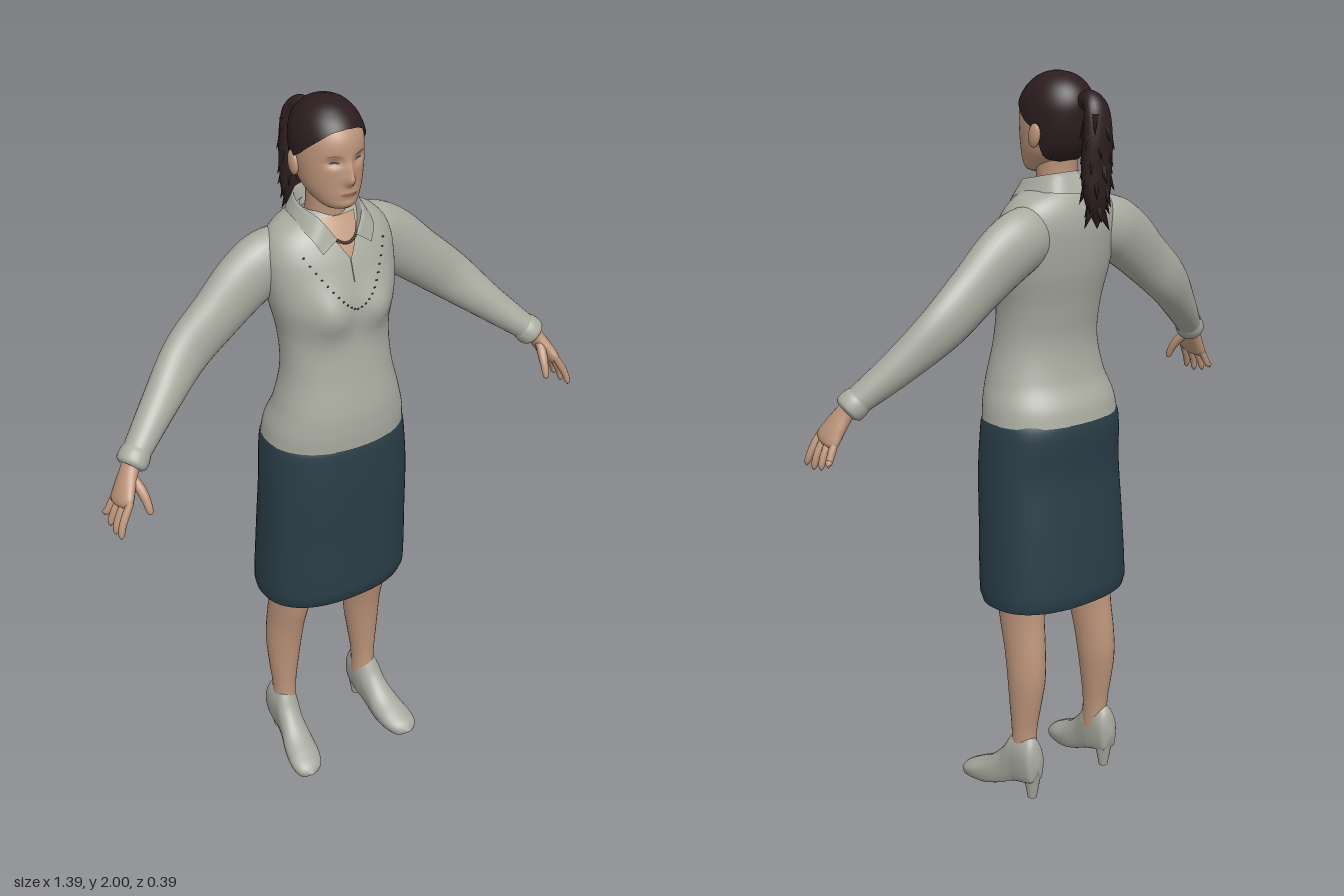
import * as THREE from 'three';
import { mergeVertices } from 'three/addons/utils/BufferGeometryUtils.js';

const V = (x, y, z) => new THREE.Vector3(x, y, z);
const mat = (name, color, side = THREE.FrontSide) => {
  const m = new THREE.MeshStandardMaterial({ color, side });
  m.name = name;
  return m;
};

// Smooth surface from a function of u (around / rightwards) and v (upwards), both 0..1
function grid(fn, nu, nv) {
  const pos = [], idx = [];
  for (let j = 0; j <= nv; j++) for (let i = 0; i <= nu; i++) pos.push(...fn(i / nu, j / nv).toArray());
  for (let j = 0; j < nv; j++) for (let i = 0; i < nu; i++) {
    const a = j * (nu + 1) + i, b = a + 1, c = a + nu + 1, d = c + 1;
    idx.push(a, b, d, a, d, c);
  }
  let g = new THREE.BufferGeometry();
  g.setAttribute('position', new THREE.Float32BufferAttribute(pos, 3));
  g.setIndex(idx);
  g = mergeVertices(g, 1e-5);
  g.computeVertexNormals();
  return g;
}

// Hermite interpolation of rows keyed by their first column
function at(rows, y) {
  let i = 0;
  while (i < rows.length - 2 && y > rows[i + 1][0]) i++;
  const h = rows[i + 1][0] - rows[i][0], t = (y - rows[i][0]) / h;
  const slope = (k, c) => {
    const p = rows[Math.max(k - 1, 0)], q = rows[Math.min(k + 1, rows.length - 1)];
    return (q[c] - p[c]) / (q[0] - p[0]);
  };
  return rows[i].map((p, c) => {
    const q = rows[i + 1][c], t2 = t * t, t3 = t2 * t;
    return (2 * t3 - 3 * t2 + 1) * p + (t3 - 2 * t2 + t) * h * slope(i, c)
      + (3 * t2 - 2 * t3) * q + (t3 - t2) * h * slope(i + 1, c);
  });
}

// Body surface: rows are [y, half width, front z, back z, centre x]; angle 0 is the front
const body = (rows, power = 2, grow = 0) => (y, a) => {
  const [, rx, zf, zb, cx = 0] = at(rows, y), e = 2 / power;
  const s = Math.sin(a), c = Math.cos(a);
  return V(cx + (Math.max(rx, 0) + grow) * Math.sign(s) * Math.abs(s) ** e, y,
    (zf + zb) / 2 + (Math.max(zf - zb, 0) / 2 + grow) * Math.sign(c) * Math.abs(c) ** e);
};
const wrap = (fn, y0, y1, nu, nv) => grid((u, v) => fn(y0 + (y1 - y0) * v, u * Math.PI * 2), nu, nv);

// Limb along a path: rows are [x, y, z, radius along ref, other radius]
function limb(rows, ref, nu = 20, nv = 28) {
  const keyed = rows.map((r, i) => [i, ...r]), n = rows.length - 1;
  const centre = t => V(...at(keyed, t).slice(1, 4));
  return grid((u, v) => {
    const t = v * n, r = at(keyed, t);
    const T = centre(Math.min(t + 0.02, n)).sub(centre(Math.max(t - 0.02, 0))).normalize();
    const n1 = ref.clone().addScaledVector(T, -T.dot(ref)).normalize(), n2 = T.clone().cross(n1);
    const a = u * Math.PI * 2;
    return centre(t).addScaledVector(n1, Math.cos(a) * Math.max(r[4], 0)).addScaledVector(n2, Math.sin(a) * Math.max(r[5], 0));
  }, nu, nv);
}

export function createModel() {
  const model = new THREE.Group();
  model.name = 'woman';
  const sweater = mat('sweaterGrey', 0xa9aba0, THREE.DoubleSide), skirtBlue = mat('skirtBlue', 0x2a3e48, THREE.DoubleSide);
  const skin = mat('skin', 0xbd957b), hairBrown = mat('hairBrown', 0x2c1d1f, THREE.DoubleSide);
  const shoeGrey = mat('shoeGrey', 0xa6a79d), lipRose = mat('lipRose', 0x9c6b5b);
  const dark = mat('darkDetail', 0x46433e), bronze = mat('necklaceBronze', 0x5c4a34);

  const add = (name, geo, material) => {
    const m = new THREE.Mesh(geo, material);
    m.name = name;
    model.add(m);
  };
  const pair = (name, geo, material) => {
    add('left' + name, geo, material);
    const g = geo.clone().scale(-1, 1, 1), ix = g.index;
    for (let i = 0; i < ix.count; i += 3) {
      const b = ix.getX(i + 1);
      ix.setX(i + 1, ix.getX(i + 2));
      ix.setX(i + 2, b);
    }
    add('right' + name, g, material);
  };
  const bump = (d, w) => Math.exp(-(d * d) / (w * w));

  // Skirt, open at the hem
  const skirt = [[0.58, 0.215, 0.155, -0.132], [0.6, 0.22, 0.167, -0.14], [0.8, 0.215, 0.172, -0.127],
    [0.95, 0.21, 0.175, -0.115], [1.05, 0.203, 0.174, -0.122], [1.1, 0.195, 0.17, -0.118], [1.13, 0.175, 0.15, -0.1]];
  add('skirt', wrap(body(skirt, 2.35), 0.58, 1.13, 64, 24), skirtBlue);

  // Sweater body with bust
  const torsoRows = [[1.095, 0.199, 0.176, -0.123], [1.14, 0.193, 0.178, -0.113], [1.2, 0.175, 0.175, -0.085],
    [1.3, 0.152, 0.158, -0.07], [1.4, 0.152, 0.145, -0.083], [1.5, 0.172, 0.145, -0.104], [1.6, 0.18, 0.118, -0.114],
    [1.65, 0.168, 0.095, -0.11], [1.685, 0.138, 0.072, -0.098], [1.705, 0.1, 0.055, -0.085], [1.72, 0.06, 0.042, -0.068]];
  const torsoBase = body(torsoRows, 2.15);
  const torso = (y, a) => {
    const p = torsoBase(y, a);
    if (Math.cos(a) > 0) p.z += 0.026 * bump(Math.abs(p.x) - 0.075, 0.055) * bump(y - 1.48, 0.065) * Math.cos(a);
    return p;
  };
  const onTorso = (x, y, lift) => {
    const a = Math.asin(Math.min(Math.abs(x) / at(torsoRows, y)[1], 1) ** (2.15 / 2));
    return V(x, y, torso(y, a).z + lift);
  };
  add('sweaterBody', wrap(torso, 1.095, 1.72, 72, 56), sweater);

  // Sleeves and cuffs
  pair('Sleeve', limb([[0.07, 1.6, -0.035, 0.05, 0.07], [0.15, 1.59, -0.036, 0.064, 0.083], [0.22, 1.55, -0.034, 0.06, 0.083],
    [0.3, 1.485, -0.028, 0.053, 0.074], [0.4, 1.402, -0.018, 0.047, 0.066], [0.5, 1.312, 0.026, 0.044, 0.049],
    [0.605, 1.222, 0.083, 0.036, 0.034]], V(0, 0, 1), 28, 36), sweater);
  pair('Cuff', limb([[0.59, 1.236, 0.074, 0.037, 0.036], [0.6, 1.226, 0.08, 0.041, 0.04], [0.614, 1.212, 0.088, 0.041, 0.039],
    [0.62, 1.206, 0.091, 0.03, 0.03]], V(0, 0, 1), 24, 10), sweater);

  // Hands: palm, four fingers and thumb
  pair('Palm', limb([[0.605, 1.225, 0.083, 0.028, 0.022], [0.625, 1.198, 0.095, 0.029, 0.021], [0.645, 1.165, 0.108, 0.038, 0.021],
    [0.663, 1.132, 0.12, 0.043, 0.017], [0.67, 1.118, 0.124, 0, 0]], V(0, 0, 1), 20, 20), skin);
  for (let i = 0; i < 4; i++) {
    const z = 0.088 + i * 0.022, tip = [0.02, 0.006, 0, 0.004][i], out = (i - 1.3) * 0.006;
    pair('Finger' + (i + 1), limb([[0.652, 1.15, z, 0.009, 0.009], [0.67, 1.12, z + out * 0.5, 0.0105, 0.0105],
      [0.684, 1.092, z + out, 0.0095, 0.0095], [0.69, 1.067 + tip, z + out * 1.5, 0.0075, 0.0075],
      [0.691, 1.056 + tip, z + out * 1.6, 0, 0]], V(0, 0, 1), 10, 14), skin);
  }
  pair('Thumb', limb([[0.625, 1.19, 0.11, 0.012, 0.012], [0.617, 1.165, 0.138, 0.013, 0.013], [0.612, 1.138, 0.158, 0.011, 0.011],
    [0.61, 1.112, 0.17, 0.008, 0.008], [0.61, 1.105, 0.172, 0, 0]], V(0, 0, 1), 10, 14), skin);

  // Legs
  const leg = [[0.12, 0.033, 0.025, -0.055, 0.137], [0.2, 0.034, 0.021, -0.055, 0.137], [0.27, 0.041, 0.026, -0.067, 0.136],
    [0.36, 0.049, 0.036, -0.081, 0.133], [0.44, 0.05, 0.052, -0.08, 0.13], [0.52, 0.052, 0.075, -0.072, 0.126],
    [0.6, 0.058, 0.088, -0.07, 0.121], [0.8, 0.075, 0.105, -0.08, 0.11], [1.05, 0.09, 0.12, -0.085, 0.1]];
  pair('Leg', wrap(body(leg), 0.12, 1.05, 28, 36), skin);

  // Shoes: sections from heel to toe as [z, bottom, top, half width]
  const shoe = [[-0.081, 0.1, 0.105, 0], [-0.075, 0.065, 0.15, 0.024], [-0.058, 0.054, 0.183, 0.033], [-0.02, 0.045, 0.192, 0.037],
    [0.012, 0.034, 0.184, 0.037], [0.045, 0.017, 0.133, 0.038], [0.095, 0.002, 0.085, 0.046], [0.15, 0, 0.056, 0.047],
    [0.185, 0.001, 0.036, 0.032], [0.201, 0.014, 0.016, 0]];
  pair('Shoe', grid((u, v) => {
    const z = -0.081 + 0.282 * v, [, b, t, w] = at(shoe, z), a = -u * Math.PI * 2, s = Math.sin(a), c = Math.cos(a);
    const flat = c < 0 ? Math.max(c * 1.5, -1) : c;
    return V(0.142 + 0.14 * Math.max(z, 0) + Math.max(w, 0) * s, (b + t) / 2 + (t - b) / 2 * flat, z);
  }, 28, 48), shoeGrey);
  pair('ShoeHeel', new THREE.CylinderGeometry(0.027, 0.013, 0.08, 16).translate(0.139, 0.04, -0.051), shoeGrey);

  // Neck and head
  add('neck', wrap(body([[1.62, 0.06, 0.06, -0.06], [1.7, 0.053, 0.052, -0.058], [1.75, 0.052, 0.055, -0.055], [1.8, 0.054, 0.06, -0.06]]),
    1.62, 1.8, 28, 10), skin);
  const headRows = [[1.738, 0.005, 0.075, 0.06], [1.744, 0.034, 0.093, 0.02], [1.756, 0.05, 0.102, -0.01], [1.775, 0.064, 0.104, -0.045],
    [1.8, 0.075, 0.105, -0.072], [1.84, 0.083, 0.106, -0.09], [1.88, 0.086, 0.106, -0.098], [1.92, 0.083, 0.101, -0.1],
    [1.955, 0.069, 0.08, -0.086], [1.978, 0.048, 0.052, -0.062], [1.99, 0.026, 0.026, -0.035], [1.995, 0.002, 0.001, -0.003]];
  const headBase = body(headRows);
  const head = (y, a) => {
    const p = headBase(y, a), x = Math.abs(p.x);
    if (Math.cos(a) > 0) p.z += 0.021 * bump(x, 0.012) * bump(y - 1.824, 0.017) + 0.011 * bump(x, 0.009) * bump(y - 1.85, 0.02)
      - 0.011 * bump(x - 0.034, 0.02) * bump(y - 1.868, 0.012) + 0.005 * bump(x, 0.022) * bump(y - 1.787, 0.012)
      + 0.004 * bump(x, 0.02) * bump(y - 1.758, 0.01);
    return p;
  };
  add('head', wrap(head, 1.738, 1.995, 80, 64), skin);
  pair('Ear', new THREE.SphereGeometry(1, 14, 10).scale(0.011, 0.032, 0.02).rotateX(-0.2).translate(0.087, 1.845, -0.012), skin);

  // Thin face details following the head surface: centre, half size, droop
  const facePatch = (cx, cy, w, h, droop) => grid((u, v) => {
    const s = u * 2 - 1, x = cx + w * s, y = cy - droop * s * s + h * (v * 2 - 1) * Math.sqrt(1 - s * s * 0.98);
    return head(y, Math.asin(x / at(headRows, y)[1])).add(V(0, 0, 0.0015));
  }, 12, 3);
  pair('Eye', facePatch(0.034, 1.868, 0.012, 0.003, 0.002), dark);
  pair('Eyebrow', facePatch(0.036, 1.886, 0.018, 0.002, 0.004), lipRose);
  add('lips', facePatch(0, 1.786, 0.022, 0.005, 0.001), lipRose);

  // Hair cap from the hairline up
  const hairline = [[0, 1.947], [0.5, 1.94], [1.0, 1.912], [1.4, 1.88], [1.75, 1.855], [2.05, 1.795], [2.5, 1.78], [Math.PI, 1.775]];
  const cap = body(headRows, 2, 0.006);
  add('hair', grid((u, v) => {
    const a = u * Math.PI * 2, y0 = at(hairline, a > Math.PI ? Math.PI * 2 - a : a)[1];
    const p = cap(y0 + (1.995 - y0) * v, a);
    return p.setY(p.y + 0.005 * v);
  }, 64, 28), hairBrown);
  add('hairCrown', new THREE.SphereGeometry(1, 16, 8).scale(0.03, 0.008, 0.03).translate(0, 1.992, -0.003), hairBrown);

  // Ponytail with ragged tufts
  const tail = [[0, 1.915, -0.085, 0.018, 0.018], [0, 1.938, -0.118, 0.024, 0.022], [0, 1.915, -0.146, 0.036, 0.025],
    [0, 1.85, -0.152, 0.043, 0.03], [0, 1.77, -0.148, 0.045, 0.031], [0, 1.69, -0.15, 0.036, 0.026], [0, 1.615, -0.152, 0, 0]];
  add('ponytail', limb(tail, V(1, 0, 0), 20, 36), hairBrown);
  for (let i = 0; i < 34; i++) {
    const a = i * 2.4, y = 1.9 - 0.255 * i / 33, r = i > 26 ? 0.65 : 0.92;
    const tuft = new THREE.ConeGeometry(0.012, 0.05, 5).rotateX(Math.PI - 0.4).rotateY(a)
      .translate(Math.sin(a) * 0.044 * r, y - 0.012, -0.15 + Math.cos(a) * 0.031 * r);
    add('hairTuft', tuft, hairBrown);
  }

  // Open neckline, necklace, placket and stitching
  add('necklineSkin', grid((u, v) => {
    const y = 1.617 + 0.093 * v;
    return onTorso((u * 2 - 1) * (0.001 + 0.05 * v ** 0.85), y, 0.004);
  }, 12, 14), skin);
  for (let i = -7; i <= 7; i++) {
    const x = i * 0.005, p = onTorso(x, 1.654 + x * x * 14, 0.007);
    add('necklaceBead', new THREE.SphereGeometry(0.0038, 8, 6).translate(p.x, p.y, p.z), bronze);
  }
  add('placket', grid((u, v) => onTorso((u - 0.5) * 0.004, 1.56 + 0.058 * v, 0.002), 1, 8), dark);
  for (let i = -11; i <= 11; i++) {
    const x = i * 0.0105, p = onTorso(x, 1.492 + 0.14 * Math.abs(x / 0.115) ** 1.5, 0.001);
    add('stitch', new THREE.BoxGeometry(0.005, 0.003, 0.003).translate(p.x, p.y, p.z), dark);
  }

  // Folded collar: inner edge, fold and outer edge, each running from front to back
  const edges = [
    [[0.018, 1.64, 0.09], [0.05, 1.69, 0.062], [0.067, 1.7, 0], [0.05, 1.7, -0.052], [0, 1.7, -0.068]],
    [[0.028, 1.668, 0.097], [0.06, 1.718, 0.07], [0.079, 1.738, 0], [0.058, 1.752, -0.06], [0, 1.756, -0.08]],
    [[0.07, 1.638, 0.1], [0.09, 1.675, 0.078], [0.1, 1.7, 0], [0.074, 1.705, -0.074], [0, 1.7, -0.1]],
  ].map(e => new THREE.CatmullRomCurve3(e.map(p => V(...p))));
  pair('Collar', grid((u, v) => {
    const k = v < 0.5 ? 0 : 1, t = v * 2 - k;
    return edges[k].getPoint(u).lerp(edges[k + 1].getPoint(u), t);
  }, 24, 8), sweater);

  return model;
}
